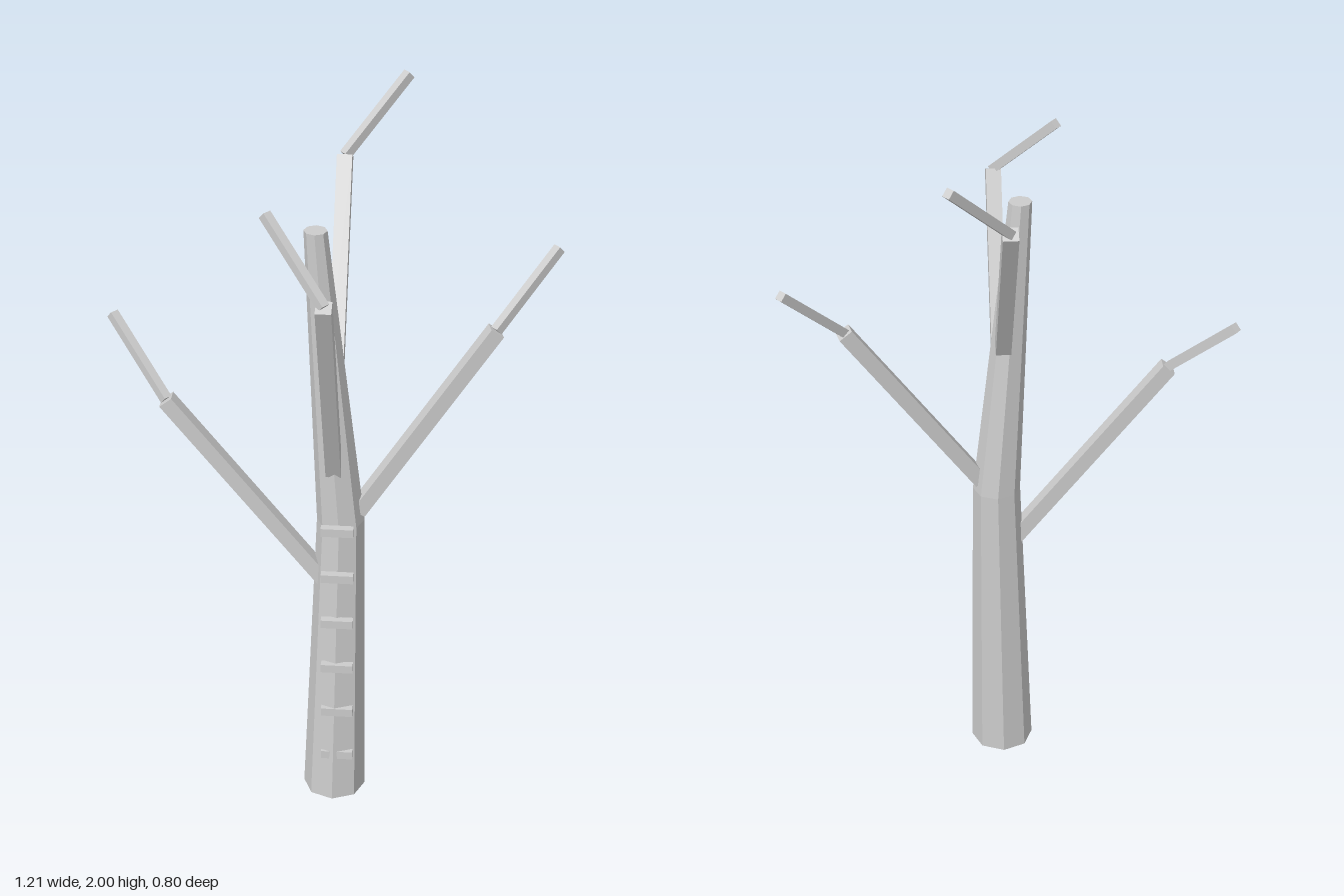
import * as THREE from 'three';

export function createModel() {
  const tree = new THREE.Group();
  tree.name = 'bareTree';
  const bark = new THREE.MeshStandardMaterial({ color: 0xcccccc, flatShading: true });
  bark.name = 'paleGrey';

  const add = (name, geometry, parent = tree) => {
    const mesh = new THREE.Mesh(geometry, bark);
    mesh.name = name;
    parent.add(mesh);
    return mesh;
  };

  // Square beam running from one point to another, one side facing up
  const beam = (name, from, to, thickness, parent) => {
    const a = new THREE.Vector3(...from);
    const b = new THREE.Vector3(...to);
    const mesh = add(name, new THREE.BoxGeometry(thickness, thickness, a.distanceTo(b)), parent);
    mesh.position.copy(a).add(b).multiplyScalar(0.5);
    mesh.lookAt(b);
  };

  // Trunk: eight-sided, tapering, with a bend halfway up
  const rings = [
    { x: 0.015, y: 0, z: 0.065, r: 0.087 },
    { x: 0.03, y: 0.87, z: 0.046, r: 0.065 },
    { x: -0.035, y: 1.735, z: 0.062, r: 0.031 },
  ];
  const trunk = new THREE.CylinderGeometry(1, 1, 2, 8, 2);
  const p = trunk.attributes.position;
  for (let i = 0; i < p.count; i++) {
    const ring = rings[Math.round(p.getY(i)) + 1];
    p.setXYZ(i, ring.x + p.getX(i) * ring.r, ring.y, ring.z + p.getZ(i) * ring.r);
  }
  trunk.computeVertexNormals();
  add('trunk', trunk);

  // Branches, each with a thinner twig bent off its end: base, elbow, tip
  const branches = {
    left: [[0.075, 0.9, 0.045], [0.432, 1.42, -0.035], [0.588, 1.605, -0.163]],
    right: [[-0.015, 0.69, 0.06], [-0.435, 1.225, 0.06], [-0.592, 1.41, -0.068]],
    back: [[0.014, 1.33, 0.008], [0.014, 1.807, -0.258], [0.173, 1.99, -0.388]],
    front: [[0.014, 1.04, 0.083], [0.014, 1.675, 0.38], [-0.143, 1.862, 0.252]],
  };
  for (const [side, [base, elbow, tip]] of Object.entries(branches)) {
    const group = new THREE.Group();
    group.name = side + 'Limb';
    tree.add(group);
    beam(side + 'Branch', base, elbow, 0.041, group);
    beam(side + 'Twig', elbow, tip, 0.024, group);
  }

  // Climbing rungs up the front of the trunk
  for (let i = 0; i < 6; i++) {
    add('rung' + (i + 1), new THREE.BoxGeometry(0.088, 0.024, 0.022))
      .position.set(0.027, 0.145 + i * 0.147, 0.13);
  }

  return tree;
}
